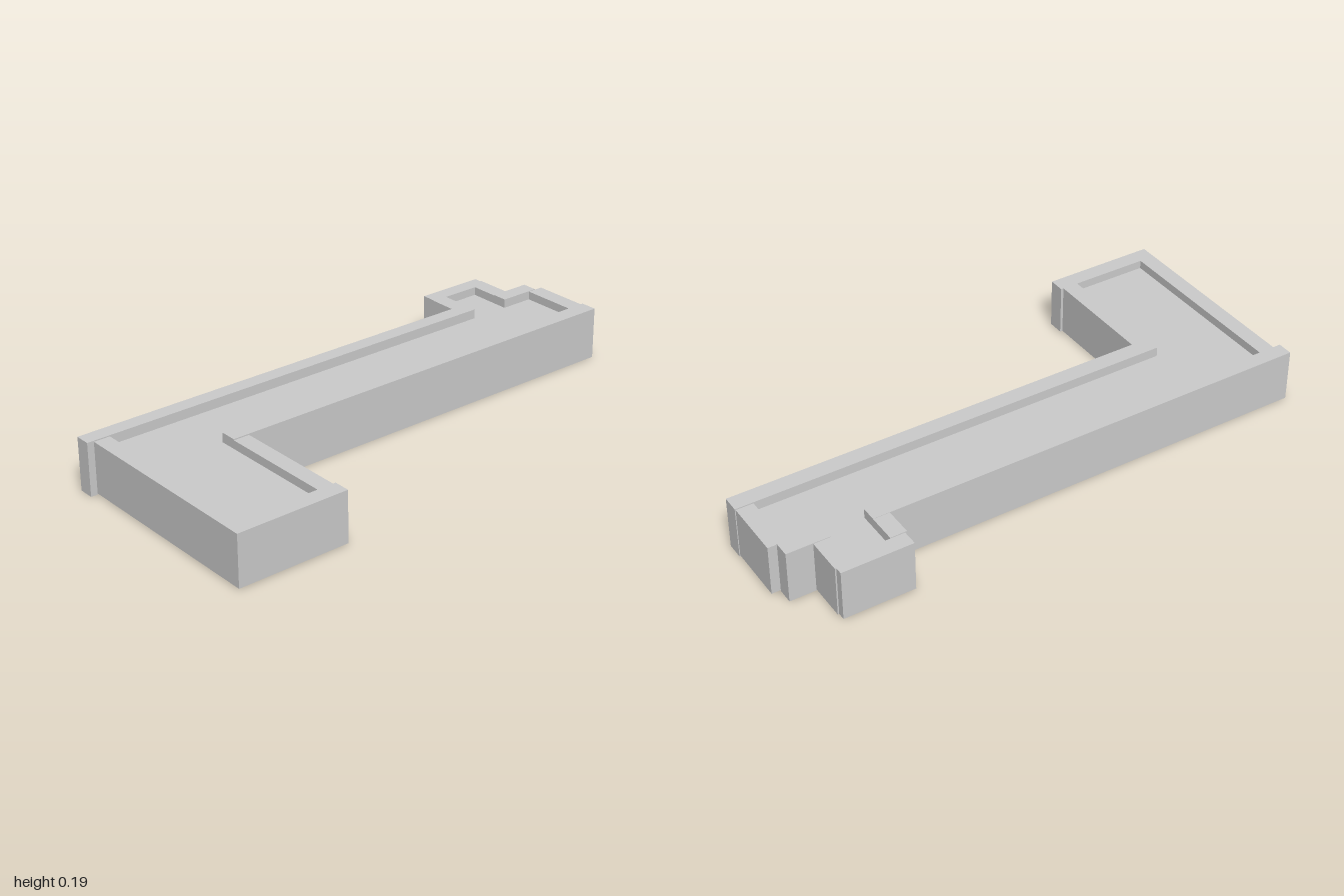
import * as THREE from 'three';

const grey = new THREE.MeshStandardMaterial({ color: 0xcccccc, flatShading: true });
const green = new THREE.MeshStandardMaterial({ color: 0x327352, flatShading: true });

// Inner outline of the rooms as [x, z]
const outline = [
  [-0.915, -0.275], [0.66, -0.275], [0.66, -0.44], [0.81, -0.44], [0.81, -0.275],
  [0.935, -0.275], [0.935, -0.06], [-0.63, -0.06], [-0.63, 0.43], [-0.915, 0.43],
];

// Wall boxes: name, x range, z range, y range
const walls = [
  ['backWall', -1, 0.66, -0.332, -0.275, 0, 0.194],
  ['rightWingWall', -0.975, -0.915, -0.275, 0.49, 0.004, 0.19],
  ['wingFrontWall', -0.915, -0.56, 0.43, 0.49, 0.004, 0.19],
  ['wingInnerWall', -0.63, -0.57, -0.06, 0.43, 0.004, 0.19],
  ['frontWall', -0.63, 1, -0.06, 0.002, 0, 0.194],
  ['leftEndWall', 0.935, 0.997, -0.275, -0.06, 0.004, 0.19],
  ['backShortWall', 0.81, 0.965, -0.332, -0.275, 0, 0.192],
  ['annexLeftWall', 0.81, 0.87, -0.468, -0.332, 0.004, 0.19],
  ['annexBackWall', 0.607, 0.865, -0.495, -0.437, 0.004, 0.19],
  ['annexRightWall', 0.6, 0.66, -0.437, -0.332, 0.004, 0.193],
];

function slab(name, y, thickness, material) {
  const shape = new THREE.Shape(outline.map(([x, z]) => new THREE.Vector2(x, -z)));
  const geometry = new THREE.ExtrudeGeometry(shape, { depth: thickness, bevelEnabled: false });
  geometry.rotateX(-Math.PI / 2);
  const mesh = new THREE.Mesh(geometry, material);
  mesh.position.y = y;
  mesh.name = name;
  return mesh;
}

export function createModel() {
  const group = new THREE.Group();
  group.name = 'building';

  // Perimeter walls, rising above the roof as a parapet
  for (const [name, x0, x1, z0, z1, y0, y1] of walls) {
    const mesh = new THREE.Mesh(new THREE.BoxGeometry(x1 - x0, y1 - y0, z1 - z0), grey);
    mesh.position.set((x0 + x1) / 2, (y0 + y1) / 2, (z0 + z1) / 2);
    mesh.name = name;
    group.add(mesh);
  }

  // Recessed roof and the floor
  group.add(slab('roof', 0.147, 0.012, grey));
  group.add(slab('floor', 0.01, 0.008, green));
  return group;
}
